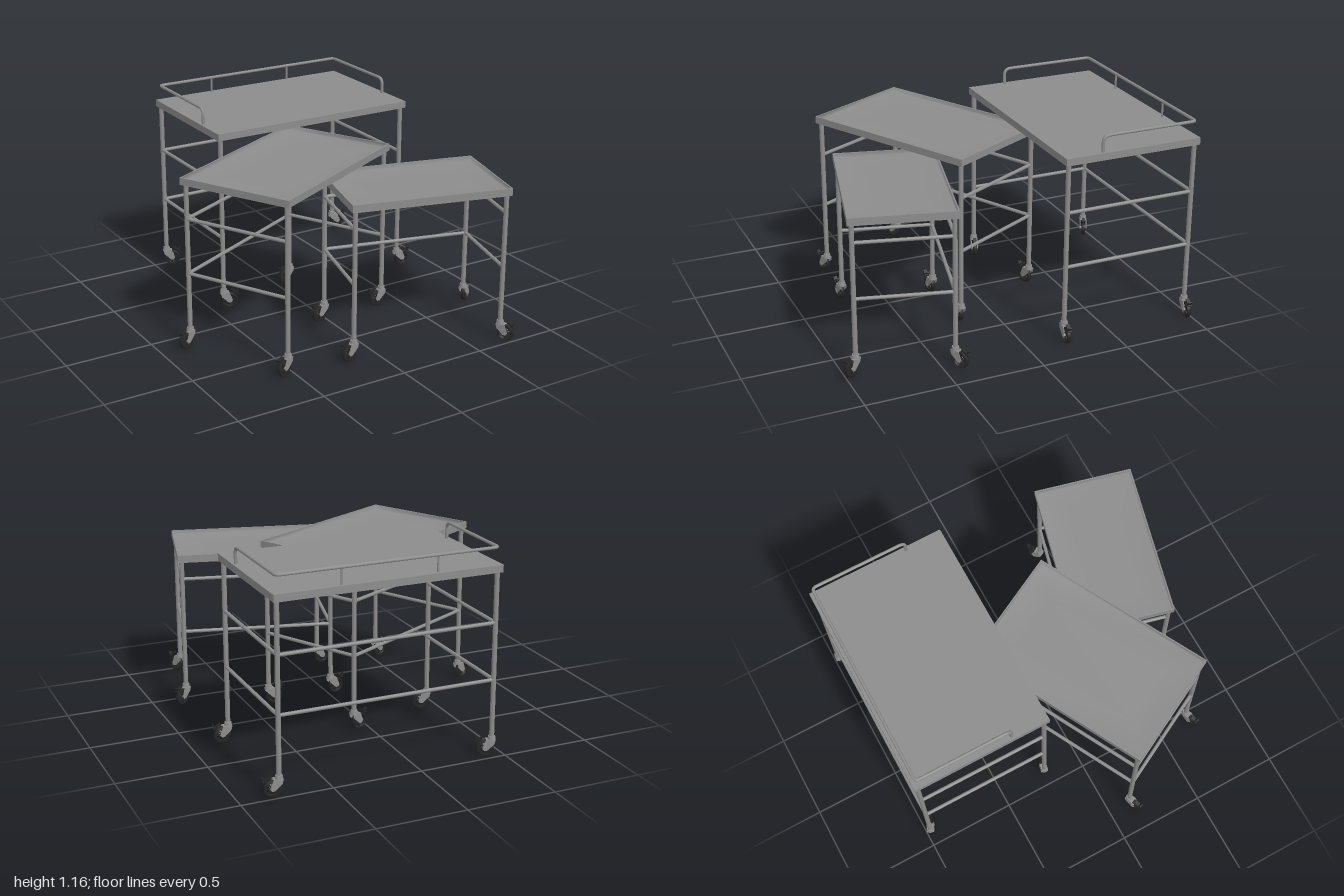
import * as THREE from 'three';

const steel = new THREE.MeshStandardMaterial({ color: 0x8c8c8c });
steel.name = 'grey steel';
const rubber = new THREE.MeshStandardMaterial({ color: 0x262626 });
rubber.name = 'black rubber';

const V = (x, y, z) => new THREE.Vector3(x, y, z);

function add(parent, name, geometry, material, x = 0, y = 0, z = 0) {
  const mesh = new THREE.Mesh(geometry, material);
  mesh.name = name;
  mesh.position.set(x, y, z);
  parent.add(mesh);
  return mesh;
}

// Round bar between two points
function bar(parent, name, a, b, r, material = steel, sides = 16) {
  const mesh = add(parent, name, new THREE.CylinderGeometry(r, r, a.distanceTo(b), sides), material);
  mesh.position.copy(a).add(b).multiplyScalar(0.5);
  mesh.quaternion.setFromUnitVectors(V(0, 1, 0), b.clone().sub(a).normalize());
  return mesh;
}

// Sunken tray lining with soft shading, made of nested rectangles
function liningGeometry(w, d, depth) {
  const loops = [[0, 0], [0.003, -depth], [0.16, -depth]];
  const pos = [], idx = [];
  for (const [inset, y] of loops)
    for (const [sx, sz] of [[1, 1], [1, -1], [-1, -1], [-1, 1]])
      pos.push(sx * (w / 2 - inset), y, sz * (d / 2 - inset));
  for (let k = 0; k < loops.length - 1; k++)
    for (let i = 0; i < 4; i++) {
      const a = k * 4 + i, b = k * 4 + (i + 1) % 4;
      idx.push(a, b, b + 4, a, b + 4, a + 4);
    }
  idx.push(8, 9, 10, 8, 10, 11);
  const g = new THREE.BufferGeometry();
  g.setAttribute('position', new THREE.Float32BufferAttribute(pos, 3));
  g.setIndex(idx);
  g.computeVertexNormals();
  return g;
}

function rectangle(PathType, w, d) {
  const p = new PathType();
  p.moveTo(-w / 2, -d / 2);
  p.lineTo(w / 2, -d / 2);
  p.lineTo(w / 2, d / 2);
  p.lineTo(-w / 2, d / 2);
  p.closePath();
  return p;
}

// Tray: rim walls, bottom sheet and lining
function addTray(table, w, d, top, thick) {
  const rim = rectangle(THREE.Shape, w, d);
  rim.holes.push(rectangle(THREE.Path, w - 0.016, d - 0.016));
  const wall = new THREE.ExtrudeGeometry(rim, { depth: thick, bevelEnabled: false });
  wall.rotateX(-Math.PI / 2);
  add(table, 'trayRim', wall, steel, 0, top - thick, 0);
  add(table, 'trayBottom', new THREE.BoxGeometry(w - 0.012, 0.006, d - 0.012), steel, 0, top - thick + 0.003, 0);
  add(table, 'trayLining', liningGeometry(w - 0.016, d - 0.016, 0.025), steel, 0, top, 0);
}

// Swivel caster trailing along its local +x
function createCaster() {
  const caster = new THREE.Group();
  caster.name = 'caster';
  const cx = 0.034, cy = 0.047;
  add(caster, 'swivelHousing', new THREE.CylinderGeometry(0.019, 0.023, 0.026, 16), steel, 0, 0.104, 0);
  const plate = new THREE.Shape();
  plate.moveTo(-0.02, 0.098);
  plate.lineTo(0.032, 0.098);
  plate.lineTo(0.05, 0.05);
  plate.lineTo(0.04, 0.036);
  plate.lineTo(0.024, 0.038);
  plate.lineTo(-0.014, 0.074);
  plate.closePath();
  const forkSide = new THREE.ExtrudeGeometry(plate, { depth: 0.004, bevelEnabled: false });
  for (const z of [-0.02, 0.016]) add(caster, 'forkSide', forkSide, steel, 0, 0, z);
  add(caster, 'forkCrown', new THREE.BoxGeometry(0.05, 0.004, 0.036), steel, 0.006, 0.097, 0);
  // Tyre, hub and spokes
  const h = 0.011;
  const tyre = new THREE.LatheGeometry([[0.033, -h], [0.044, -h], [0.047, -0.006], [0.047, 0.006],
    [0.044, h], [0.033, h], [0.033, -h]].map(([x, y]) => new THREE.Vector2(x, y)), 28);
  tyre.rotateX(Math.PI / 2);
  add(caster, 'tyre', tyre, rubber, cx, cy, 0);
  for (let i = 0; i < 4; i++) {
    const spoke = add(caster, 'spoke', new THREE.BoxGeometry(0.07, 0.006, 0.012), rubber, cx, cy, 0);
    spoke.rotation.z = i * Math.PI / 4;
  }
  bar(caster, 'axle', V(cx, cy, -0.022), V(cx, cy, 0.022), 0.008);
  // Brake pedal
  const pedal = add(caster, 'brakePedal', new THREE.BoxGeometry(0.05, 0.007, 0.02), rubber, 0.064, 0.1, 0);
  pedal.rotation.z = -0.6;
  const tip = add(caster, 'brakeTip', new THREE.BoxGeometry(0.008, 0.03, 0.022), rubber, 0.078, 0.1, 0);
  tip.rotation.z = -0.6;
  return caster;
}

// Wheeled table; casters lists the trailing angle of each leg
function createTable({ name, x, z, turn, w, d, top, thick, flat, casters }) {
  const table = new THREE.Group();
  table.name = name;
  table.position.set(x, 0, z);
  table.rotation.y = turn;
  if (flat) add(table, 'tableTop', new THREE.BoxGeometry(w, thick, d), steel, 0, top - thick / 2, 0);
  else addTray(table, w, d, top, thick);

  const lx = w / 2 - 0.023, lz = d / 2 - 0.023;
  [[-1, -1], [1, -1], [-1, 1], [1, 1]].forEach(([sx, sz], i) => {
    bar(table, 'leg', V(sx * lx, 0.1, sz * lz), V(sx * lx, top - thick + 0.002, sz * lz), 0.0135);
    const caster = createCaster();
    caster.position.set(sx * lx, 0, sz * lz);
    caster.rotation.y = casters[i] - turn;
    table.add(caster);
  });
  // Cross bars on the back and both ends, open at the front
  for (const y of [0.435, 0.75]) {
    bar(table, 'backBar', V(-lx, y, -lz), V(lx, y, -lz), 0.01);
    for (const s of [-1, 1]) bar(table, 'endBar', V(s * lx, y, -lz), V(s * lx, y, lz), 0.01);
  }
  return table;
}

// Guard rail around the back and ends of the tall table
function addGuardRail(table, w, d, top) {
  const rx = w / 2 - 0.02, back = -d / 2 + 0.022, front = 0.18, y = top + 0.09, c = 0.025, b = 0.04;
  const path = new THREE.CurvePath();
  const line = (p, q) => path.add(new THREE.LineCurve3(p, q));
  const bend = (p, m, q) => path.add(new THREE.QuadraticBezierCurve3(p, m, q));
  line(V(-rx, top, front), V(-rx, y - b, front));
  bend(V(-rx, y - b, front), V(-rx, y, front), V(-rx, y, front - b));
  line(V(-rx, y, front - b), V(-rx, y, back + c));
  bend(V(-rx, y, back + c), V(-rx, y, back), V(-rx + c, y, back));
  line(V(-rx + c, y, back), V(rx - c, y, back));
  bend(V(rx - c, y, back), V(rx, y, back), V(rx, y, back + c));
  line(V(rx, y, back + c), V(rx, y, front - b));
  bend(V(rx, y, front - b), V(rx, y, front), V(rx, y - b, front));
  line(V(rx, y - b, front), V(rx, top, front));
  add(table, 'guardRail', new THREE.TubeGeometry(path, 300, 0.009, 10), steel);
  for (const x of [-0.265, 0.265]) bar(table, 'railPost', V(x, top, back), V(x, y, back), 0.006);
}

export function createModel() {
  const model = new THREE.Group();
  model.name = 'nestingTables';
  const tall = createTable({
    name: 'tallTable', x: 0.18, z: -0.6, turn: 0, w: 1.26, d: 0.8, top: 1.065, thick: 0.04,
    flat: true, casters: [-0.4, -0.12, -0.3, -0.05],
  });
  addGuardRail(tall, 1.26, 0.8, 1.065);
  model.add(tall);
  model.add(createTable({
    name: 'middleTable', x: -0.22, z: 0.17, turn: 0.483, w: 1.075, d: 0.675, top: 0.985, thick: 0.04,
    casters: [3.55, 3.4, 3.5, 3.2],
  }));
  model.add(createTable({
    name: 'lowTable', x: 0.335, z: 0.577, turn: -0.247, w: 0.9, d: 0.57, top: 0.895, thick: 0.043,
    casters: [3.3, 0.55, 3.3, -1.05],
  }));
  return model;
}
